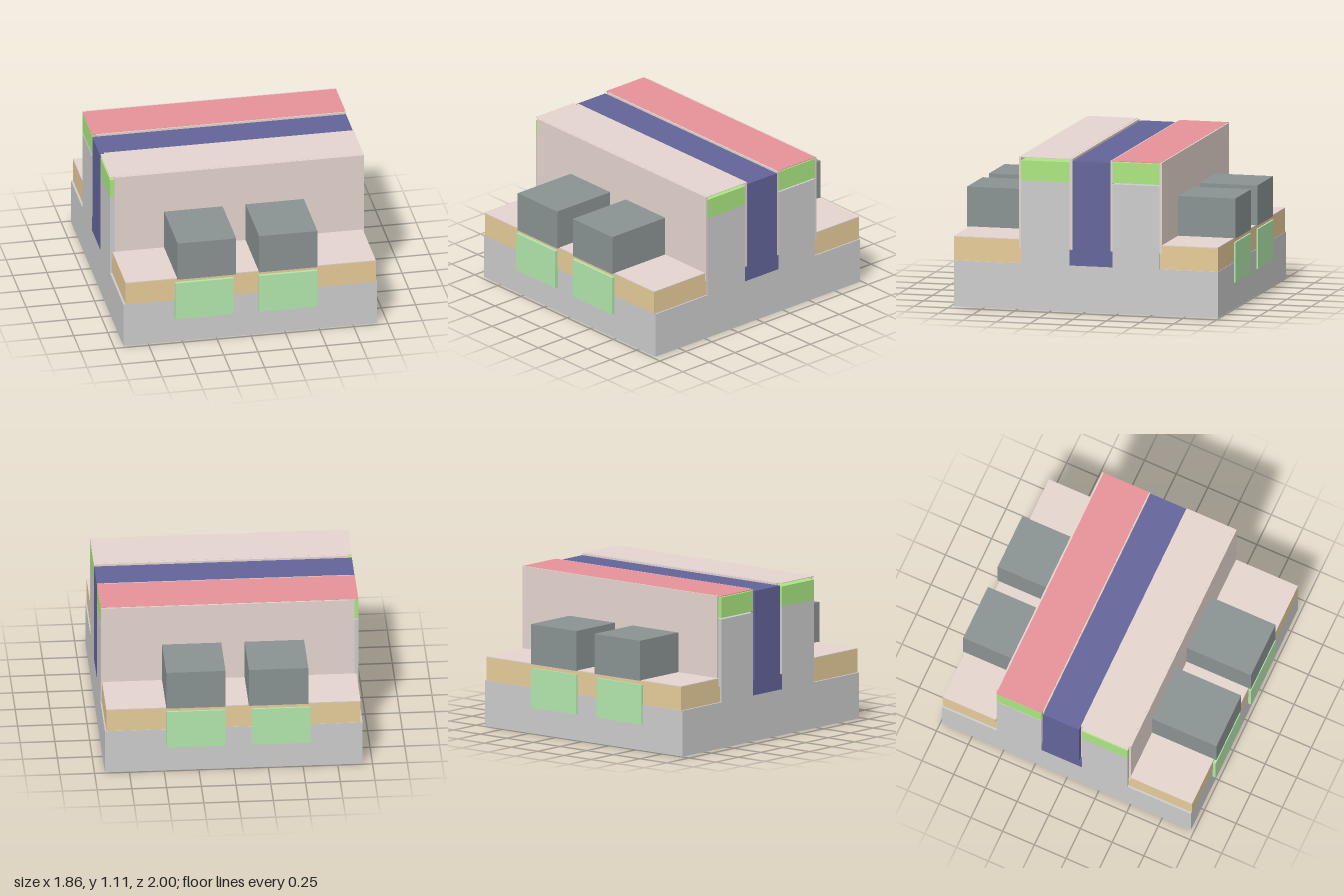
import * as THREE from 'three';

const material = (color) => new THREE.MeshStandardMaterial({ color, flatShading: true });

export function createModel() {
  const model = new THREE.Group();
  const grey = material(0xcccccc);
  const liner = material(0xe4d4ce);
  const tan = material(0xe6cb98);
  const dark = material(0x8a9292);
  const padGreen = material(0xb2e6ab);
  const capGreen = material(0xaae680);
  const blue = material(0x636499);
  const red = material(0xe69298);

  // Box given by its [min, max] range on each axis
  function block(name, mat, [x0, x1], [y0, y1], [z0, z1]) {
    const mesh = new THREE.Mesh(new THREE.BoxGeometry(x1 - x0, y1 - y0, z1 - z0), mat);
    mesh.name = name;
    mesh.position.set((x0 + x1) / 2, (y0 + y1) / 2, (z0 + z1) / 2);
    model.add(mesh);
  }

  const full = [-0.93, 0.925];
  const wallX = [-0.9, 0.925];
  const shelfX = [-0.915, 0.915];

  // Base slab and the two ridges standing on it
  block('base', grey, full, [0, 0.335], [-0.99, 0.975]);
  block('frontRidge', grey, full, [0.335, 0.94], [0.115, 0.475]);
  block('backRidge', grey, full, [0.335, 0.94], [-0.555, -0.205]);

  // Green caps, with narrow gaps below the top sheets
  block('frontRidgeCap', capGreen, full, [0.94, 1.085], [0.115, 0.475]);
  block('backRidgeCap', capGreen, full, [0.95, 1.1], [-0.555, -0.205]);

  // Trench filling with a wider foot
  block('trenchFoot', blue, full, [0.335, 0.445], [-0.205, 0.115]);
  block('trenchFill', blue, full, [0.445, 1.095], [-0.19, 0.093]);

  // Thin walls on both sides of each ridge
  for (const [name, z] of [
    ['frontOuterWall', [0.475, 0.49]],
    ['frontInnerWall', [0.094, 0.115]],
    ['backInnerWall', [-0.205, -0.191]],
    ['backOuterWall', [-0.572, -0.555]],
  ]) block(name, liner, wallX, [0.45, 1.11], z);

  // Thin top sheets
  block('frontTopSheet', liner, full, [1.106, 1.111], [0.115, 0.475]);
  block('backTopSheet', red, full, [1.106, 1.111], [-0.56, -0.2]);

  // Low shelves, each with a pale sheet on top
  for (const [side, z, wallZ] of [
    ['front', [0.475, 0.978], [0.49, 0.978]],
    ['back', [-0.987, -0.555], [-0.987, -0.572]],
  ]) {
    block(side + 'ShelfFoot', tan, shelfX, [0.335, 0.45], z);
    block(side + 'Shelf', tan, shelfX, [0.45, 0.504], wallZ);
    block(side + 'ShelfSheet', liner, shelfX, [0.504, 0.511], wallZ);
  }

  // Dark blocks on the shelves and green pads on the outer faces
  const blockX = [[-0.538, -0.11], [0.058, 0.484]];
  const padX = [[-0.555, -0.13], [0.058, 0.484]];
  for (let i = 0; i < 2; i++) {
    block('frontBlock', dark, blockX[i], [0.508, 0.8], [0.49, 0.998]);
    block('backBlock', dark, blockX[i], [0.508, 0.8], [-1, -0.572]);
    block('frontPad', padGreen, padX[i], [0.19, 0.48], [0.97, 1]);
    block('backPad', padGreen, padX[i], [0.19, 0.48], [-1, -0.98]);
  }

  return model;
}
